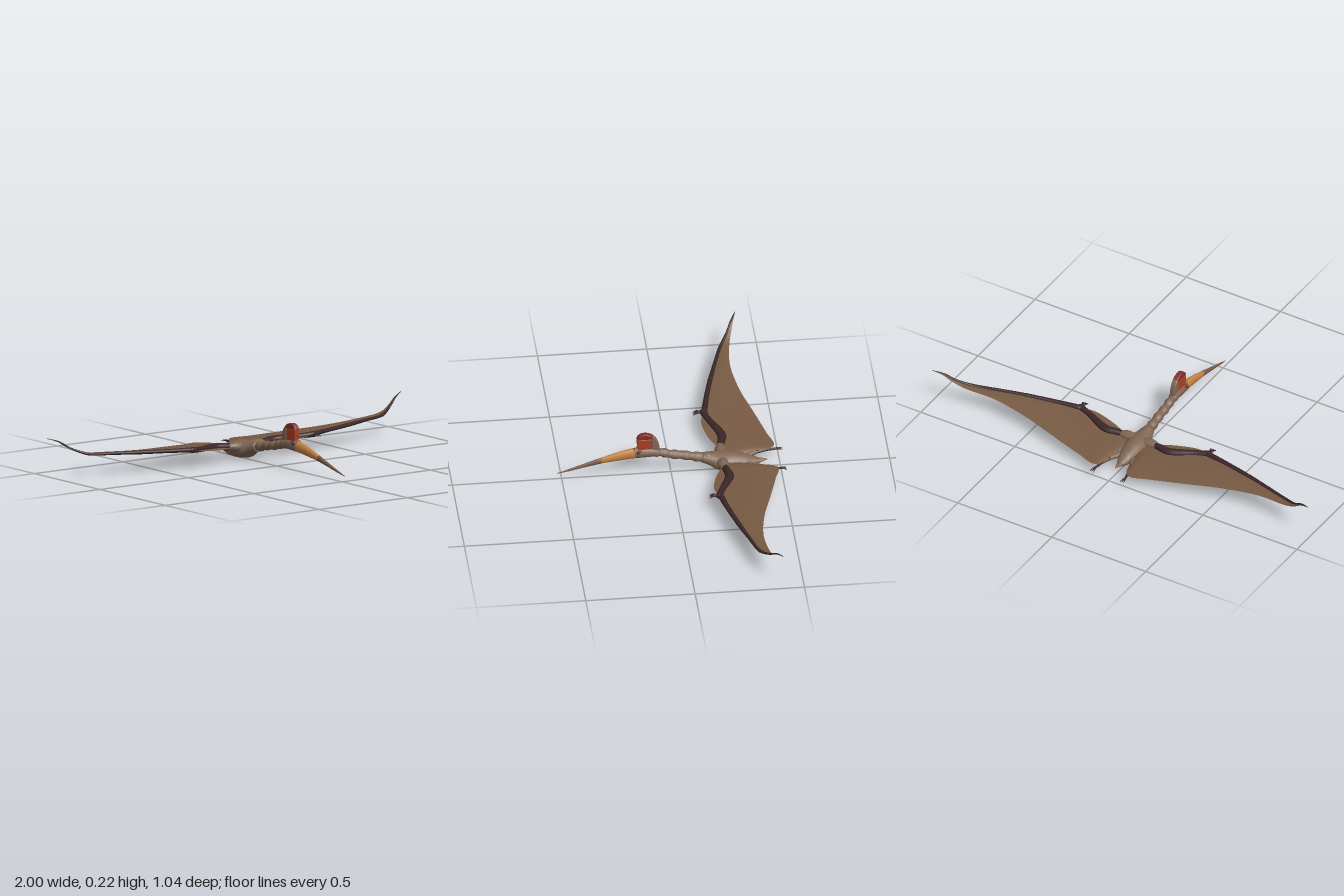
import * as THREE from 'three';

const mat = (name, color, side = THREE.FrontSide) => {
  const m = new THREE.MeshStandardMaterial({ color, side });
  m.name = name;
  return m;
};
const V = (x, y, z) => new THREE.Vector3(x, y, z);

// Smooth closed skin through stations [x, y, z, halfWidth, halfHeight]; bumps adds gentle swellings
function loft(stations, { sides = 14, steps = 5, bumps = 0 } = {}) {
  const path = new THREE.CatmullRomCurve3(stations.map(s => V(s[0], s[1], s[2])));
  const size = new THREE.CatmullRomCurve3(stations.map(s => V(s[3], s[4], 0)), false, 'catmullrom', 0.4);
  const n = (stations.length - 1) * steps;
  const pos = [], idx = [];
  for (let i = 0; i <= n; i++) {
    const p = path.getPoint(i / n), r = size.getPoint(i / n), t = path.getTangent(i / n);
    const side = V(0, 1, 0).cross(t).normalize(), up = t.clone().cross(side);
    const k = 1 + (bumps ? 0.1 * Math.sin(i / n * Math.PI * 2 * bumps) : 0);
    for (let j = 0; j < sides; j++) {
      const a = j / sides * Math.PI * 2;
      const q = p.clone().addScaledVector(side, Math.cos(a) * r.x * k).addScaledVector(up, Math.sin(a) * r.y * k);
      pos.push(q.x, q.y, q.z);
      if (i < n) {
        const a0 = i * sides + j, b0 = i * sides + (j + 1) % sides;
        idx.push(a0, b0, a0 + sides, b0, b0 + sides, a0 + sides);
      }
    }
  }
  const c = pos.length / 3, last = n * sides;
  const p0 = path.getPoint(0), p1 = path.getPoint(1);
  pos.push(p0.x, p0.y, p0.z, p1.x, p1.y, p1.z);
  for (let j = 0; j < sides; j++) {
    const j1 = (j + 1) % sides;
    idx.push(c, j1, j, c + 1, last + j, last + j1);
  }
  return surface(pos, idx);
}

function surface(pos, idx) {
  const g = new THREE.BufferGeometry();
  g.setAttribute('position', new THREE.Float32BufferAttribute(pos, 3));
  g.setIndex(idx);
  g.computeVertexNormals();
  return g;
}

// Wing skin spanned between a leading and a trailing edge, slightly cambered
function membrane(s) {
  const edge = pts => new THREE.CatmullRomCurve3(pts.map(p => V(p[0] * s, p[1], p[2])));
  const lead = edge([[.03, .06, -.235], [.08, .062, -.222], [.166, .066, -.187], [.27, .076, -.168], [.34, .082, -.182],
    [.59, .092, -.243], [.83, .1, -.313], [.9, .127, -.35], [.95, .16, -.375], [.995, .177, -.4]]);
  const trail = edge([[.03, .042, -.335], [.085, .05, -.478], [.19, .055, -.457], [.35, .066, -.415], [.52, .078, -.37],
    [.7, .093, -.347], [.86, .108, -.363], [.915, .135, -.378], [.955, .162, -.39], [.996, .177, -.403]]);
  const n = 54, m = 8, pos = [], idx = [];
  for (let i = 0; i <= n; i++) {
    const a = lead.getPoint(i / n), b = trail.getPoint(i / n);
    for (let j = 0; j <= m; j++) {
      const p = a.clone().lerp(b, j / m);
      pos.push(p.x, p.y + 0.03 * a.distanceTo(b) * Math.sin(Math.PI * j / m), p.z);
      if (i < n && j < m) {
        const q = i * (m + 1) + j;
        idx.push(q, q + 1, q + m + 1, q + 1, q + m + 2, q + m + 1);
      }
    }
  }
  return surface(pos, idx);
}

// Crest slab drawn in the (z, y) plane, with rounded rims
function crestSlab(draw) {
  const shape = new THREE.Shape();
  draw(shape);
  const g = new THREE.ExtrudeGeometry(shape, { depth: .012, bevelThickness: .007, bevelSize: .004,
    bevelOffset: -.004, bevelSegments: 3, curveSegments: 12 });
  return g.translate(0, 0, -.006).rotateY(-Math.PI / 2);
}

export function createModel() {
  const skin = mat('brown skin', 0x806654);
  const wing = mat('wing membrane brown', 0x775a43, THREE.DoubleSide);
  const dark = mat('dark limb', 0x3a2628);
  const orange = mat('orange beak', 0xc58443);
  const tipMat = mat('beak tip brown', 0x7a5b48);
  const red = mat('crest red', 0xac3f24);
  const deepRed = mat('crest dark red', 0x84302a);
  const black = mat('eye black', 0x1a1514);

  const model = new THREE.Group();
  const add = (name, geo, material, parent = model) => {
    const mesh = new THREE.Mesh(geo, material);
    mesh.name = name;
    parent.add(mesh);
    return mesh;
  };
  const ball = (name, p, r, material, parent, sx = 1, sy = 1, sz = 1) => {
    const b = add(name, new THREE.SphereGeometry(r, 14, 10), material, parent);
    b.position.set(...p);
    b.scale.set(sx, sy, sz);
  };

  // Torso with pointed tail, and the long neck
  add('torso', loft([[0, .04, -.44, .003, .003], [0, .036, -.41, .013, .009], [0, .034, -.38, .026, .02], [0, .036, -.34, .04, .033],
    [0, .043, -.28, .05, .041], [0, .048, -.225, .056, .04], [0, .062, -.18, .036, .03], [0, .07, -.14, .024, .022]], { sides: 20 }), skin);
  add('neck', loft([[0, .068, -.18, .026, .024], [0, .075, -.12, .022, .021], [0, .088, -.06, .021, .02], [0, .098, 0, .02, .02],
    [0, .112, .05, .02, .02], [0, .116, .09, .021, .023]], { steps: 10, bumps: 6 }), skin);

  // Head and beak
  add('skull', loft([[0, .113, .045, .017, .018], [0, .118, .09, .022, .024], [0, .118, .135, .023, .026], [0, .116, .17, .018, .026]]), skin);
  add('beak', loft([[0, .116, .165, .019, .0265], [0, .111, .2, .016, .0245], [0, .101, .25, .013, .021], [0, .085, .32, .0095, .0145]]), orange);
  add('beakTip', loft([[0, .085, .32, .0095, .0145], [0, .063, .4, .007, .009], [0, .046, .46, .005, .0055], [0, .03, .52, .0015, .0015]]), tipMat);

  // Three-coloured head crest
  const crest = new THREE.Group();
  crest.name = 'crest';
  model.add(crest);
  add('crestFront', crestSlab(s => {
    s.moveTo(.088, .115); s.lineTo(.15, .12); s.quadraticCurveTo(.152, .15, .157, .17);
    s.lineTo(.157, .192); s.lineTo(.088, .192);
  }), red, crest);
  add('crestTop', crestSlab(s => {
    s.moveTo(.082, .19); s.lineTo(.157, .19); s.bezierCurveTo(.154, .211, .136, .218, .12, .218);
    s.quadraticCurveTo(.098, .217, .082, .205);
  }), deepRed, crest);
  add('crestBack', crestSlab(s => {
    s.moveTo(.09, .115); s.lineTo(.09, .207); s.bezierCurveTo(.065, .197, .05, .165, .051, .115);
  }), skin, crest);

  for (const s of [1, -1]) {
    const sideName = s > 0 ? 'left' : 'right';
    const half = new THREE.Group();
    half.name = sideName + 'Side';
    model.add(half);
    const limb = (name, st, material, opt) =>
      add(sideName + name, loft(st.map(([x, ...r]) => [x * s, ...r]), opt), material, half);

    // Eye and brow
    ball(sideName + 'Eye', [s * .02, .127, .152], .006, black, half);
    ball(sideName + 'Brow', [s * .02, .135, .145], .007, deepRed, half, 1, .6, 1.6);

    // Wing: skin, upper arm, forearm and long finger
    add(sideName + 'WingMembrane', membrane(s), wing, half);
    limb('UpperArm', [[.02, .058, -.235, .026, .024], [.06, .064, -.232, .026, .022], [.1, .067, -.238, .016, .014]], skin);
    limb('Arm', [[.07, .066, -.233, .014, .014], [.12, .069, -.243, .018, .016], [.166, .071, -.25, .021, .016], [.22, .076, -.232, .018, .014],
      [.28, .08, -.205, .015, .012], [.34, .085, -.185, .016, .013]], dark);
    limb('WingFinger', [[.33, .085, -.187, .015, .012], [.45, .089, -.211, .012, .009], [.59, .093, -.245, .011, .009], [.72, .097, -.281, .008, .007],
      [.83, .101, -.315, .008, .006], [.9, .128, -.352, .005, .004], [.95, .161, -.378, .004, .003], [1, .178, -.403, .001, .001]], dark);
    for (const [x, y, z, r] of [[.34, .085, -.185, .017], [.59, .093, -.245, .012], [.83, .101, -.315, .009]])
      ball(sideName + 'WingJoint', [s * x, y, z], r, dark, half, 1.1, .8, 1);

    // Hand claws at the wrist
    for (const d of [-1, 0, 1])
      limb('HandClaw', [[.34, .085, -.18, .005, .005], [.34 + d * .009, .088, -.155, .0035, .004],
        [.34 + d * .012, .079, -.138, .0008, .0008]], dark, { sides: 6, steps: 3 });

    // Leg and toes
    limb('Thigh', [[.022, .036, -.32, .016, .016], [.042, .04, -.36, .014, .013], [.058, .043, -.4, .009, .009]], skin);
    limb('Shin', [[.045, .04, -.365, .011, .011], [.06, .043, -.405, .009, .009], [.072, .041, -.45, .006, .006],
      [.08, .038, -.49, .005, .005]], dark);
    for (const d of [-1, 0, 1])
      limb('Toe', [[.08, .039, -.485, .004, .004], [.08 + d * .006, .039, -.503, .003, .003],
        [.08 + d * .009, .036, -.52, .0008, .0008]], dark, { sides: 6, steps: 3 });
  }
  return model;
}
